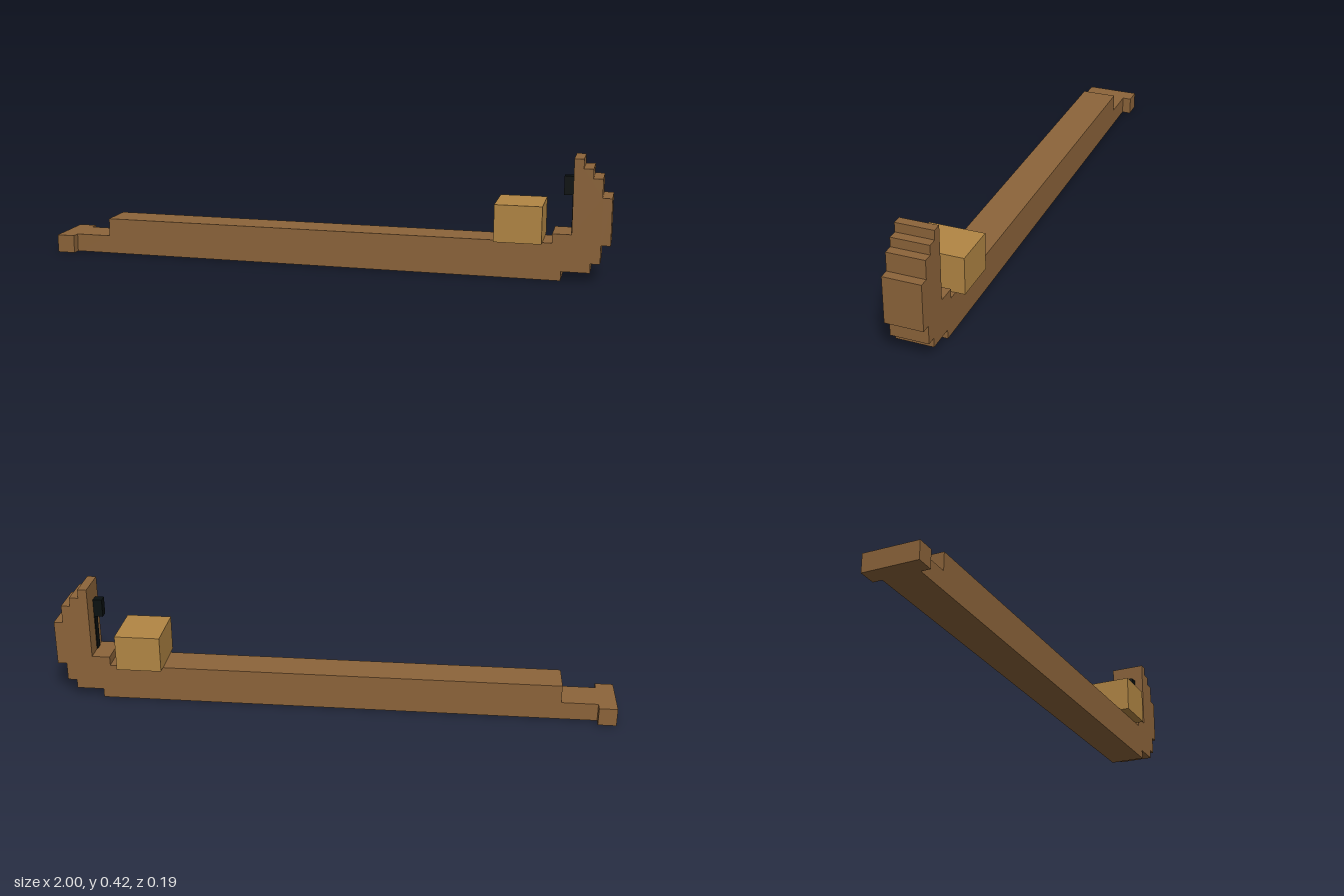
import * as THREE from 'three';

const U = 1 / 31; // one grid cell; the model is 62 cells long

export function createModel() {
  const model = new THREE.Group();
  const material = (name, color) => {
    const m = new THREE.MeshStandardMaterial({ color });
    m.name = name;
    return m;
  };
  const wood = material('brown wood', 0x8c643a);
  const paleWood = material('pale wood', 0xb28644);
  const black = material('black', 0x0a1010);

  // Box between two corners given in grid cells
  const box = (name, mat, [x0, y0, z0], [x1, y1, z1]) => {
    const geo = new THREE.BoxGeometry((x1 - x0) * U, (y1 - y0) * U, (z1 - z0) * U);
    const mesh = new THREE.Mesh(geo, mat);
    mesh.position.set((x0 + x1) / 2 * U, (y0 + y1) / 2 * U, (z0 + z1) / 2 * U);
    mesh.name = name;
    model.add(mesh);
  };

  // Long bar with its stepped, upturned end as one side profile
  const profile = [
    [-29, 0], [26, 0], [26, 1], [29, 1], [29, 2], [30, 2], [30, 4], [31, 4],
    [31, 9], [30, 9], [30, 11], [29, 11], [29, 12], [28, 12], [28, 13], [27, 13],
    [27, 5], [25, 5], [25, 4], [-25, 4], [-25, 2], [-29, 2],
  ];
  const shape = new THREE.Shape(profile.map(([x, y]) => new THREE.Vector2(x * U, y * U)));
  const barGeo = new THREE.ExtrudeGeometry(shape, { depth: 4 * U, bevelEnabled: false });
  barGeo.translate(0, 0, -2 * U);
  const bar = new THREE.Mesh(barGeo, wood);
  bar.name = 'barWithUpturnedEnd';
  model.add(bar);

  // Crosspiece at the low end
  box('endCrosspiece', wood, [-31, 0, -3], [-29, 2, 3]);

  // Pale block resting on the bar
  box('block', paleWood, [19, 4, -3], [24, 8, 3]);

  // Catch on the inner face of the upturned end, with its thin strip
  box('catch', black, [26, 9, 0], [27, 11, 1]);
  box('catchStrip', black, [26.9, 5, 0], [27, 9, 1]);

  return model;
}
